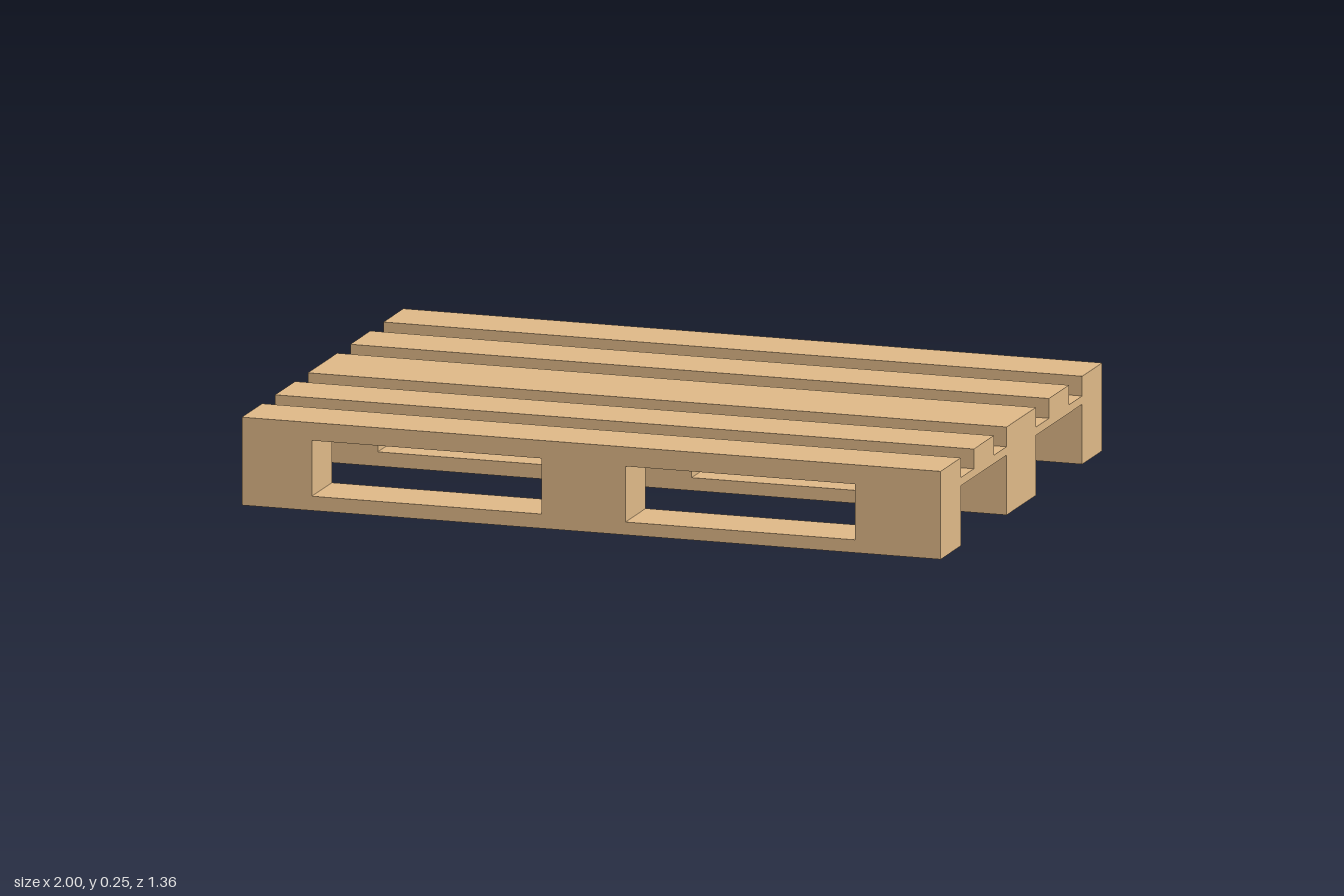
import * as THREE from 'three';

const wood = new THREE.MeshStandardMaterial({ color: 0xdeb887 });
const HEIGHT = 0.245;

// Box from its minimum and maximum on each axis
function box(name, [x0, x1], [y0, y1], [z0, z1]) {
  const mesh = new THREE.Mesh(new THREE.BoxGeometry(x1 - x0, y1 - y0, z1 - z0), wood);
  mesh.position.set((x0 + x1) / 2, (y0 + y1) / 2, (z0 + z1) / 2);
  mesh.name = name;
  return mesh;
}

function rectangle(path, x0, x1, y0, y1) {
  path.moveTo(x0, y0);
  path.lineTo(x1, y0);
  path.lineTo(x1, y1);
  path.lineTo(x0, y1);
  path.closePath();
  return path;
}

// Full-height beam with two fork openings
function beam(name, z0, z1) {
  const shape = rectangle(new THREE.Shape(), -1, 1, 0, HEIGHT);
  shape.holes.push(
    rectangle(new THREE.Path(), -0.8, -0.143, 0.04, 0.195),
    rectangle(new THREE.Path(), 0.098, 0.755, 0.036, 0.191),
  );
  const geometry = new THREE.ExtrudeGeometry(shape, { depth: z1 - z0, bevelEnabled: false });
  const mesh = new THREE.Mesh(geometry, wood);
  mesh.position.z = z0;
  mesh.name = name;
  return mesh;
}

export function createModel() {
  const pallet = new THREE.Group();
  pallet.name = 'pallet';

  // Three beams running left to right
  pallet.add(
    beam('frontBeam', 0.51, 0.68),
    beam('middleBeam', -0.122, 0.124),
    beam('backBeam', -0.68, -0.512),
  );

  // Deck slats between the beams
  pallet.add(
    box('frontSlat', [-1, 1], [0.19, HEIGHT], [0.232, 0.4]),
    box('backSlat', [-1, 1], [0.19, HEIGHT], [-0.401, -0.233]),
  );

  // Thin cross boards under the slats, joining the beams
  const spans = [[-1, -0.8], [-0.143, 0.098], [0.755, 1]];
  for (const span of spans) {
    pallet.add(
      box('frontCrossBoard', span, [0.167, 0.19], [0.124, 0.51]),
      box('backCrossBoard', span, [0.167, 0.19], [-0.512, -0.122]),
    );
  }
  return pallet;
}
